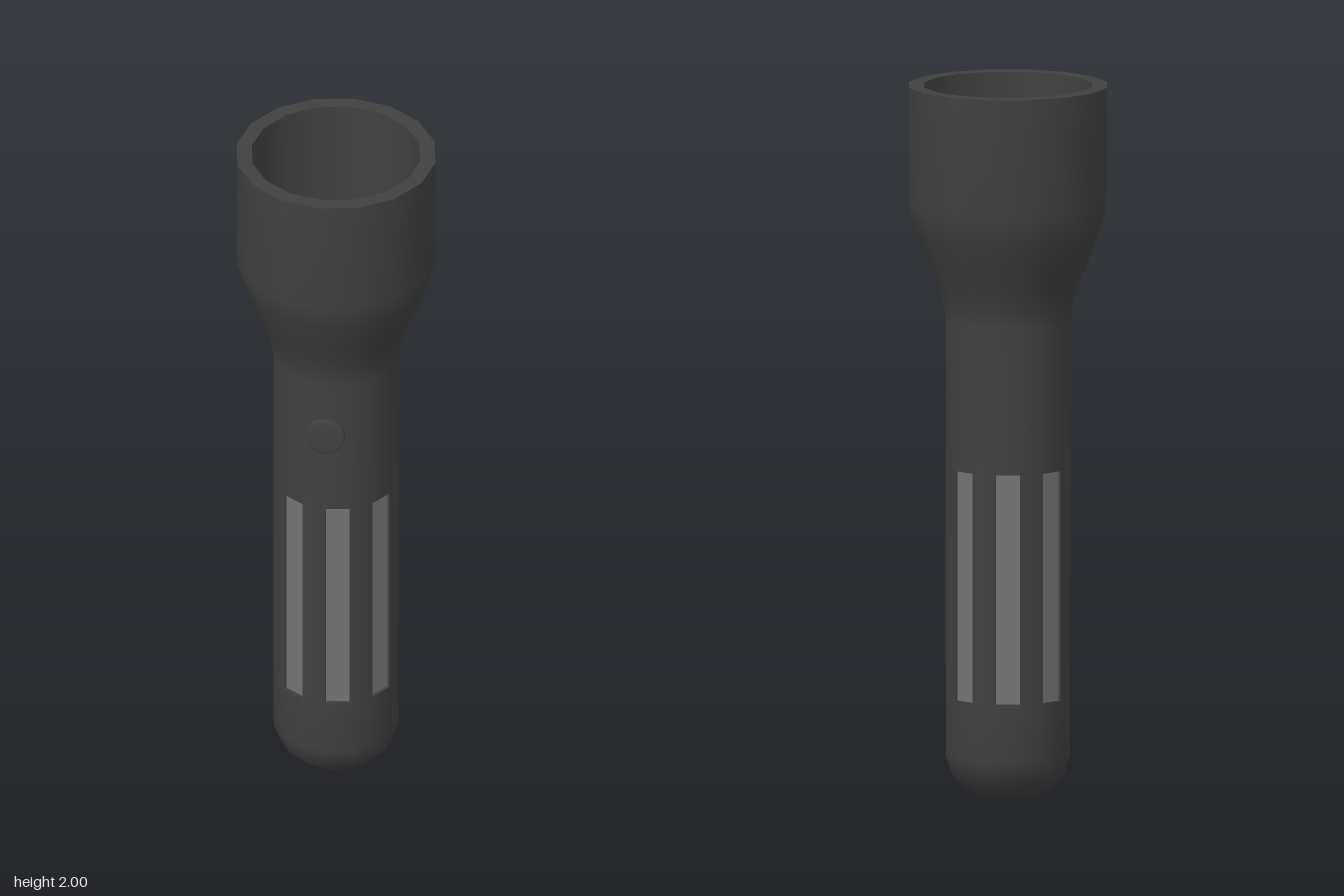
import * as THREE from 'three';

const SIDES = 16;
const STEP = (Math.PI * 2) / SIDES;
const R = 0.176;              // barrel radius
const R_GROOVE = 0.168;       // recessed grip radius
const GRIP_LOW = 0.285, GRIP_HIGH = 0.93;

export function createModel() {
  const group = new THREE.Group();
  const dark = new THREE.MeshStandardMaterial({ color: 0x404040 });
  const darkThin = new THREE.MeshStandardMaterial({ color: 0x404040, side: THREE.DoubleSide });
  const light = new THREE.MeshStandardMaterial({ color: 0x747474, flatShading: true });

  const add = (name, geometry, material, parent = group) => {
    const mesh = new THREE.Mesh(geometry, material);
    mesh.name = name;
    parent.add(mesh);
    return mesh;
  };
  // Profiles are [radius, height] pairs, turned around y
  const lathe = (points) =>
    new THREE.LatheGeometry(points.map(([r, y]) => new THREE.Vector2(r, y)), SIDES);

  // Rounded tail below the grip
  add('tailCap', lathe([[0, 0], [0.06, 0.004], [0.115, 0.022], [0.157, 0.062],
    [R, 0.122], [R, GRIP_LOW]]), dark);

  // Barrel above the grip, flaring into the head
  add('barrelAndHead', lathe([[R, GRIP_HIGH], [R, 1.34], [0.182, 1.385], [0.198, 1.44],
    [0.228, 1.51], [0.256, 1.585], [0.28, 1.67], [0.28, 2]]), dark);

  // Flat rim, hollow inside and its floor
  add('rim', lathe([[0.28, 2], [0.237, 2]]), dark);
  add('headInside', lathe([[0.237, 2], [0.23, 1.67]]), dark);
  add('headFloor', lathe([[0.23, 1.67], [0, 1.67]]), dark);

  // Grip: every other side of the barrel is a recessed light strip
  const grip = new THREE.Group();
  grip.name = 'grip';
  group.add(grip);
  const height = GRIP_HIGH - GRIP_LOW;
  const middle = (GRIP_HIGH + GRIP_LOW) / 2;
  for (let i = 0; i < SIDES; i++) {
    const recessed = i % 2 === 0;
    const radius = recessed ? R_GROOVE : R;
    const panel = add(recessed ? 'gripStrip' : 'gripRidge',
      new THREE.CylinderGeometry(radius, radius, height, 1, 1, true, i * STEP, STEP),
      recessed ? light : dark, grip);
    panel.position.y = middle;

    // Thin wall between strip and ridge
    const wall = add('grooveWall', new THREE.PlaneGeometry(R - R_GROOVE, height), darkThin, grip);
    const r = (R + R_GROOVE) / 2;
    wall.position.set(Math.sin(i * STEP) * r, middle, Math.cos(i * STEP) * r);
    wall.rotation.y = i * STEP - Math.PI / 2;
  }
  for (const y of [GRIP_LOW, GRIP_HIGH]) {
    const end = add('grooveEnd', new THREE.RingGeometry(R_GROOVE, R, SIDES), darkThin, grip);
    end.rotation.x = -Math.PI / 2;
    end.position.y = y;
  }

  // Round switch on the front, with a small bevel
  const button = new THREE.Group();
  button.name = 'button';
  button.rotation.x = Math.PI / 2;
  button.position.set(0, 1.173, 0.155);
  group.add(button);
  add('buttonSide', lathe([[0.055, 0], [0.055, 0.025]]), dark, button);
  add('buttonTop', lathe([[0.055, 0.025], [0.048, 0.03], [0, 0.03]]), dark, button);

  return group;
}
